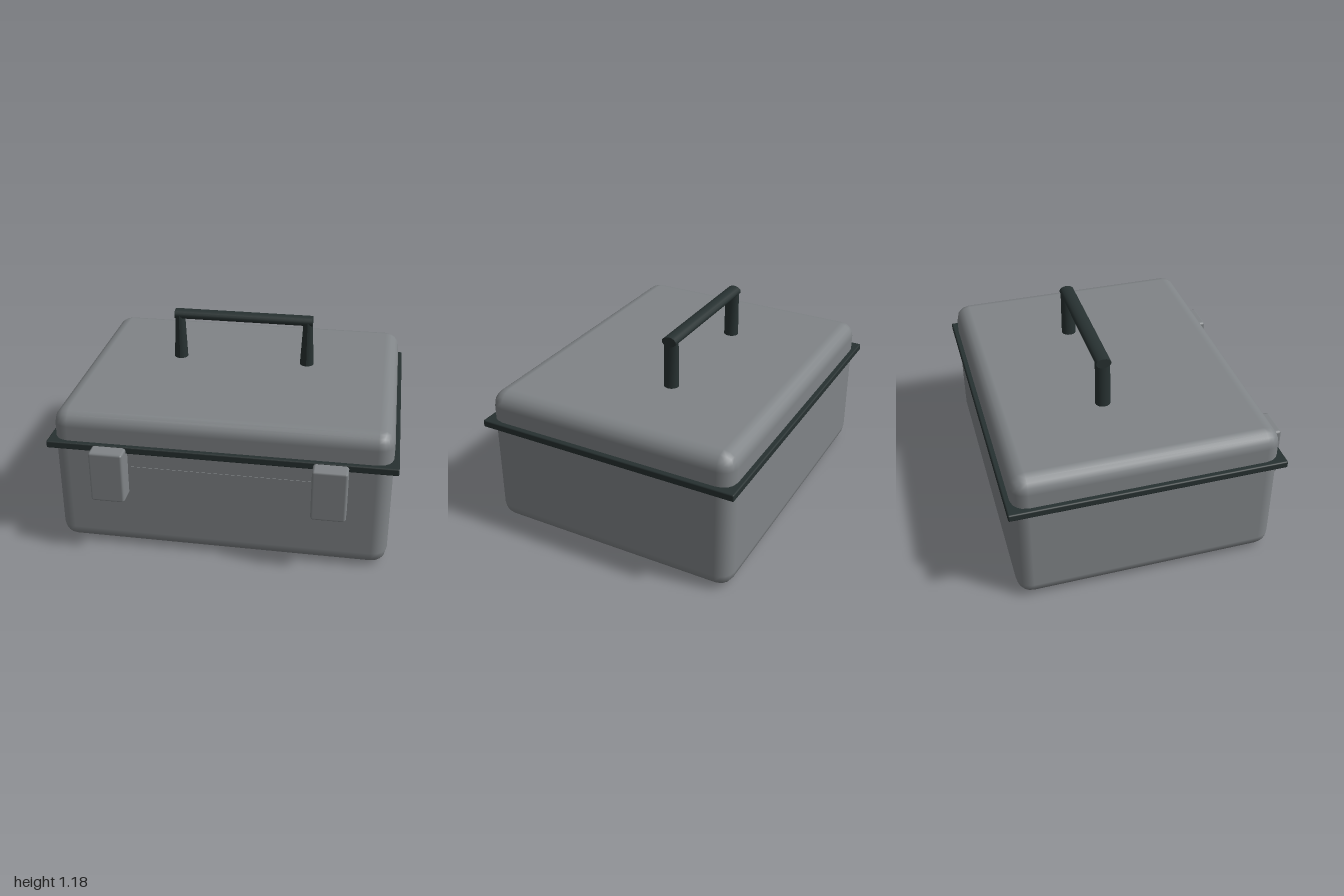
import * as THREE from 'three';
import { RoundedBoxGeometry } from 'three/addons/geometries/RoundedBoxGeometry.js';

export function createModel() {
  const group = new THREE.Group();
  const grey = new THREE.MeshStandardMaterial({ color: 0x808487 });
  grey.name = 'grey shell';
  const dark = new THREE.MeshStandardMaterial({ color: 0x273131 });
  dark.name = 'dark trim';

  const add = (name, geometry, material, x, y, z) => {
    const mesh = new THREE.Mesh(geometry, material);
    mesh.name = name;
    mesh.position.set(x, y, z);
    group.add(mesh);
    return mesh;
  };

  // Rounded box given by its lower and upper bounds
  const block = (name, material, [x0, x1], [y0, y1], [z0, z1], radius, segments) =>
    add(name, new RoundedBoxGeometry(x1 - x0, y1 - y0, z1 - z0, segments, radius), material,
      (x0 + x1) / 2, (y0 + y1) / 2, (z0 + z1) / 2);

  // Case and lid, with the rim between them
  block('caseAndLid', grey, [-0.97, 0.97], [0.004, 0.86], [-0.812, 0.73], 0.09, 2);
  block('rim', dark, [-1, 1], [0.64, 0.683], [-0.842, 0.757], 0.008, 1);

  // Thin panel on the front
  add('frontPanel', new THREE.BoxGeometry(1.2, 0.25, 0.006), grey, 0, 0.42, 0.73);

  // Latches and front feet
  for (const side of [-1, 1]) {
    const name = side > 0 ? 'left' : 'right';
    const xs = [side * 0.63 - 0.099, side * 0.63 + 0.099];
    block(name + 'Latch', grey, xs, [0.363, 0.677], [0.71, 0.842], 0.015, 1);
    add(name + 'Foot', new THREE.BoxGeometry(0.15, 0.008, 0.15), dark, side * 0.765, 0.004, 0.545);
  }

  // Handle: oval grip on two legs that widen towards the lid
  const handleZ = -0.157;
  const grip = new THREE.CylinderGeometry(1, 1, 0.86, 16);
  grip.rotateZ(Math.PI / 2).scale(1, 0.03, 0.045);
  add('handleGrip', grip, dark, 0, 1.147, handleZ);

  const leg = new THREE.CylinderGeometry(1, 1, 0.31, 16);
  const p = leg.attributes.position;
  for (let i = 0; i < p.count; i++) {
    const half = p.getY(i) > 0 ? 0.028 : 0.044;
    p.setXYZ(i, p.getX(i) * half, p.getY(i), p.getZ(i) * 0.045);
  }
  leg.computeVertexNormals();
  for (const side of [-1, 1]) {
    add(side > 0 ? 'leftHandleLeg' : 'rightHandleLeg', leg, dark, side * 0.401, 0.995, handleZ);
  }

  return group;
}
